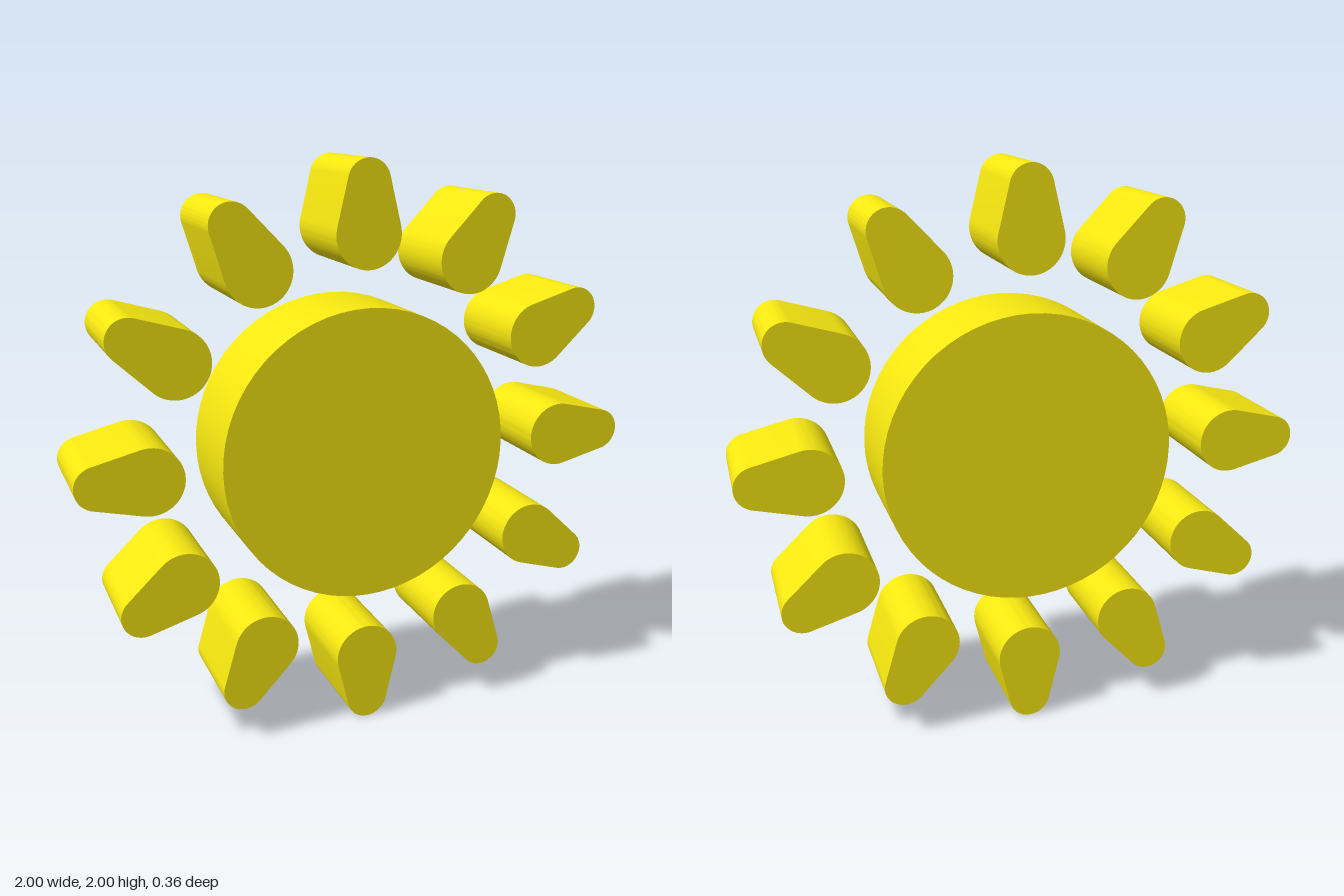
import * as THREE from 'three';
import { toCreasedNormals } from 'three/addons/utils/BufferGeometryUtils.js';

const DEPTH = 0.36;
const DISC_RADIUS = 0.515;
const RAY_COUNT = 12;
// Each ray is a teardrop hull of two circles: distance from centre and radius
const INNER = { y: 0.755, r: 0.115 };
const OUTER = { y: 0.925, r: 0.075 };

// Extrude a shape to the common thickness, centred on z = 0, smooth round the rim
function slab(shape) {
  const geometry = new THREE.ExtrudeGeometry(shape, {
    depth: DEPTH, bevelEnabled: false, curveSegments: 24,
  });
  geometry.translate(0, 0, -DEPTH / 2);
  return toCreasedNormals(geometry, 0.6);
}

// Teardrop outline: two arcs joined by their tangent lines
function rayShape() {
  const a = Math.asin((INNER.r - OUTER.r) / (OUTER.y - INNER.y));
  const shape = new THREE.Shape();
  shape.absarc(0, OUTER.y, OUTER.r, a, Math.PI - a, false);
  shape.absarc(0, INNER.y, INNER.r, Math.PI - a, 2 * Math.PI + a, false);
  shape.closePath();
  return shape;
}

export function createModel() {
  const model = new THREE.Group();
  model.name = 'sun';
  const material = new THREE.MeshStandardMaterial({ color: 0xf5e610 });

  // Central disc
  const discGeometry = new THREE.CylinderGeometry(DISC_RADIUS, DISC_RADIUS, DEPTH, 64);
  discGeometry.rotateX(Math.PI / 2);
  const disc = new THREE.Mesh(discGeometry, material);
  disc.name = 'disc';
  disc.position.y = 1;
  model.add(disc);

  // Ring of rays
  const rays = new THREE.Group();
  rays.name = 'rays';
  rays.position.y = 1;
  const rayGeometry = slab(rayShape());
  for (let i = 0; i < RAY_COUNT; i++) {
    const ray = new THREE.Mesh(rayGeometry, material);
    ray.name = `ray${i + 1}`;
    ray.rotation.z = (i / RAY_COUNT) * Math.PI * 2;
    rays.add(ray);
  }
  model.add(rays);

  return model;
}
